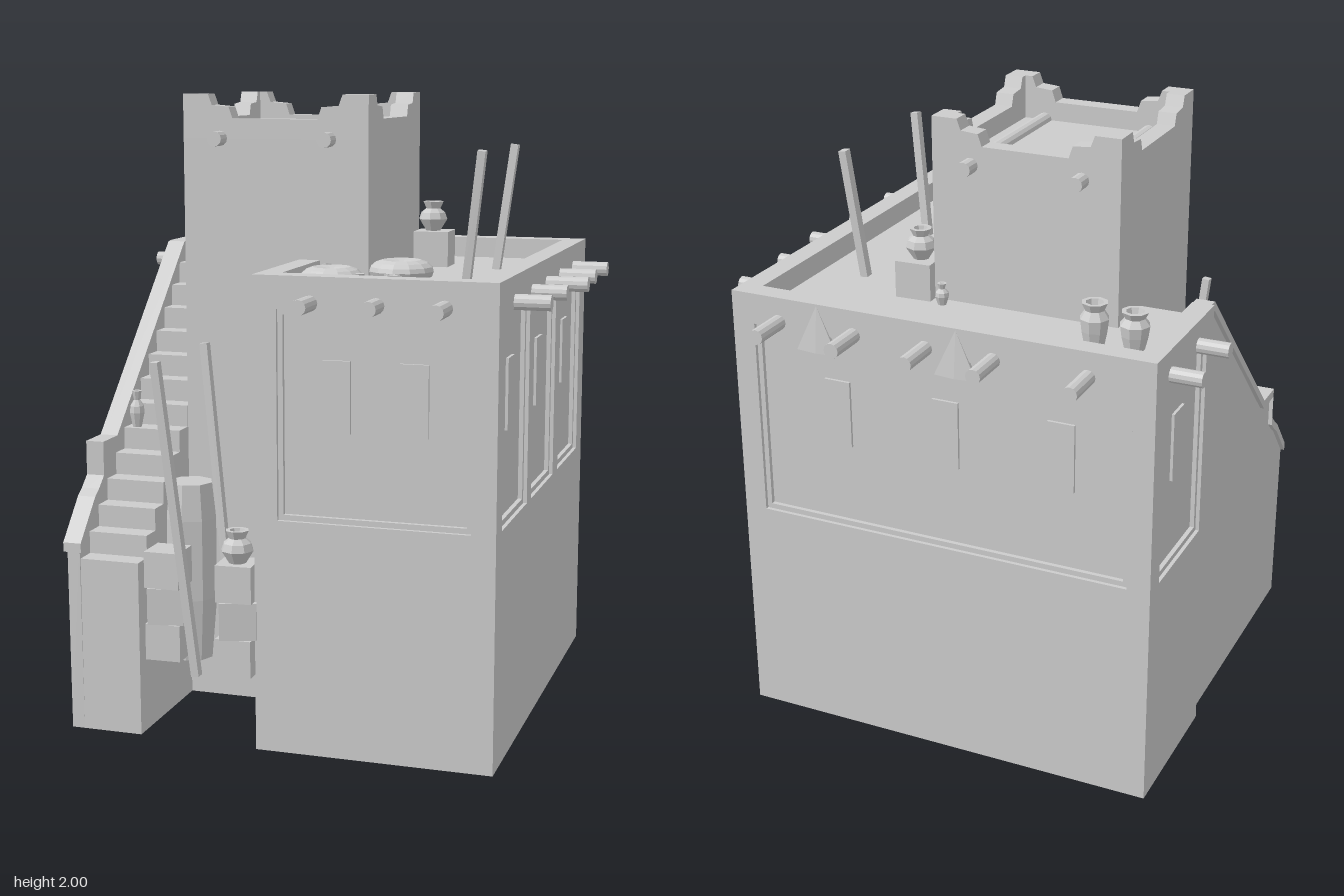
import * as THREE from 'three';

const clay = new THREE.MeshStandardMaterial({ color: 0xcccccc, side: THREE.DoubleSide, flatShading: true });
clay.name = 'clay';
const DECK = 1.41, TOP = 1.48;

const mesh = (parent, name, geo, x = 0, y = 0, z = 0) => {
  const m = new THREE.Mesh(geo, clay);
  m.name = name;
  m.position.set(x, y, z);
  parent.add(m);
  return m;
};
const box = (p, name, w, h, d, x, y, z, ry = 0) => {
  const m = mesh(p, name, new THREE.BoxGeometry(w, h, d), x, y, z);
  m.rotation.y = ry;
  return m;
};
const poly = (pts) => new THREE.Shape(pts.map(([x, y]) => new THREE.Vector2(x, y)));
const rect = (x0, y0, x1, y1) => poly([[x0, y0], [x1, y0], [x1, y1], [x0, y1]]);
const extrude = (shape, depth) => new THREE.ExtrudeGeometry(shape, { depth, bevelEnabled: false });

// Bar or log between two points
function bar(p, name, a, b, geo) {
  const A = new THREE.Vector3(...a), B = new THREE.Vector3(...b), d = B.clone().sub(A);
  const m = mesh(p, name, geo);
  m.scale.y = d.length();
  m.position.copy(A).addScaledVector(d, 0.5);
  m.quaternion.setFromUnitVectors(new THREE.Vector3(0, 1, 0), d.normalize());
}
const logGeo = new THREE.CylinderGeometry(0.024, 0.024, 1, 12);
const poleGeo = new THREE.BoxGeometry(0.026, 1, 0.03);

// Wall with parapet and stepped recessed panels: outer face at local z = 0
function wall(p, name, len, panels, [x, z], turn) {
  const g = new THREE.Group();
  g.name = name;
  g.position.set(x, 0, z);
  g.rotation.y = turn;
  p.add(g);
  mesh(g, 'lowerWall', new THREE.PlaneGeometry(len, 0.6), 0, 0.3, 0);
  const slab = rect(-len / 2, 0.6, len / 2, TOP);
  for (const { c, w, windows } of panels) {
    const x0 = c - w / 2, x1 = c + w / 2;
    slab.holes.push(rect(x0, 0.735, x1, 1.38));
    const frame = rect(x0, 0.735, x1, 1.38);
    frame.holes.push(rect(x0 + 0.016, 0.752, x1 - 0.016, 1.362));
    mesh(g, 'panelFrame', extrude(frame, 0.03), 0, 0, -0.042);
    box(g, 'panelBack', w, 0.645, 0.02, c, 1.0575, -0.036);
    for (const u of windows) box(g, 'window', 0.088, 0.22, 0.009, u, 1.12, -0.0215);
  }
  mesh(g, 'upperWall', extrude(slab, 0.07), 0, 0, -0.07);
}

// Lathe pots from [radius, height] profiles scaled to a size
const PROFILES = {
  round: [[0, 0], [0.5, 0], [1, 0.4], [0.85, 0.62], [0.5, 0.76], [0.72, 1], [0.45, 1], [0.35, 0.8]],
  tall: [[0, 0], [0.5, 0], [0.9, 0.5], [1, 0.72], [0.65, 0.86], [0.9, 1], [0.6, 1], [0.45, 0.85]],
  slim: [[0, 0], [0.6, 0], [1, 0.4], [0.9, 0.58], [0.4, 0.75], [0.65, 1], [0.3, 1]],
  barrel: [[0, 0], [0.78, 0], [1, 0.35], [1, 0.8], [0.85, 1], [0, 1]],
};
function pot(p, name, kind, r, h, x, y, z, sides = 8) {
  const pts = PROFILES[kind].map(([a, b]) => new THREE.Vector2(a * r, b * h));
  mesh(p, name, new THREE.LatheGeometry(pts, sides), x, y, z);
}

// Round cushion with a dimpled top
function cushion(p, r, x, z) {
  const geo = new THREE.SphereGeometry(1, 12, 10);
  const a = geo.attributes.position;
  for (let i = 0; i < a.count; i++) {
    const d = Math.hypot(a.getX(i), a.getZ(i));
    a.setXYZ(i, a.getX(i) * r, a.getY(i) * 0.045 - (a.getY(i) > 0 ? 0.025 * Math.max(0, 1 - d * 1.6) : 0), a.getZ(i) * r);
  }
  geo.computeVertexNormals();
  mesh(p, 'cushion', geo, x, DECK + 0.042, z);
}

function crateStack(p, x, z, turns) {
  turns.forEach((t, i) => box(p, 'crate', 0.115, 0.117, 0.115, x, 0.298 + i * 0.117, z, t));
}

export function createModel() {
  const root = new THREE.Group();
  root.name = 'mudBrickHouse';
  const H = Math.PI / 2;

  // House walls
  wall(root, 'frontWall', 0.75, [{ c: 0, w: 0.6, windows: [-0.12, 0.12] }], [0.305, 0.72], 0);
  wall(root, 'leftSideWall', 1.42, [-0.45, -0.02, 0.43].map((c) => ({ c, w: 0.365, windows: [c] })), [0.68, 0.01], H);
  wall(root, 'backWall', 1.4, [{ c: 0, w: 1.25, windows: [-0.35, 0.02, 0.4] }], [-0.02, -0.7], Math.PI);
  wall(root, 'rightSideWall', 0.49, [{ c: 0.01, w: 0.36, windows: [0.01] }], [-0.72, -0.455], -H);
  wall(root, 'alcoveWall', 0.44, [], [-0.07, 0.5], -H);
  mesh(root, 'stairHeadWall', new THREE.PlaneGeometry(0.26, DECK), -0.59, DECK / 2, -0.21);

  // Roof deck
  const deck = poly([[-0.71, -0.69], [0.67, -0.69], [0.67, 0.71], [-0.06, 0.71], [-0.06, 0], [-0.4, 0], [-0.4, -0.21], [-0.71, -0.21]]);
  mesh(root, 'roofDeck', new THREE.ShapeGeometry(deck).rotateX(H), 0, DECK, 0);

  // Tower with stepped corner parapet
  const tower = new THREE.Group();
  tower.name = 'tower';
  tower.position.set(-0.15, 0, -0.03);
  root.add(tower);
  box(tower, 'towerBody', 0.62, 1.86, 0.62, 0, 0.93, 0);
  const half = [[0.31, 1.86], [0.31, 2], [0.225, 2], [0.212, 1.965], [0.155, 1.96], [0.142, 1.922]];
  const crest = poly([...half, ...half.map(([x, y]) => [-x, y]).reverse()]);
  for (let i = 0; i < 4; i++) {
    const side = mesh(tower, 'towerParapet', extrude(crest, 0.06).translate(0, 0, 0.25));
    side.rotation.y = i * H;
  }
  for (const x of [-0.335, 0.03]) bar(root, 'towerBeam', [x, 1.86, -0.395], [x, 1.86, 0.335], logGeo);

  // Roof beam ends
  for (const [x, e] of [[0.11, 0.83], [0.315, 0.81], [0.52, 0.83]]) bar(root, 'frontBeam', [x, 1.4, 0.66], [x, 1.4, e], logGeo);
  for (const [z, e] of [[-0.46, 0.8], [-0.22, 0.8], [0.015, 0.815], [0.247, 0.79], [0.505, 0.79]])
    bar(root, 'leftBeam', [0.62, 1.4, z], [e, 1.4, z], logGeo);
  for (const z of [-0.58, -0.345]) bar(root, 'rightBeam', [-0.66, 1.4, z], [-0.82, 1.4, z], logGeo);
  for (const x of [-0.51, -0.21, 0.012, 0.255, 0.515]) bar(root, 'backBeam', [x, 1.4, -0.64], [x, 1.4, -0.835], logGeo);

  // Plaster lumps on the back parapet
  for (const x of [-0.09, 0.38]) {
    const lump = mesh(root, 'plasterLump', new THREE.ConeGeometry(0.08, 0.15, 6), x, 1.4, -0.7);
    lump.scale.z = 0.2;
  }

  // Staircase profile in z and y, extruded across its width
  const across = (name, pts, x0, x1) =>
    mesh(root, name, extrude(poly(pts.map(([z, y]) => [-z, y])), x1 - x0).rotateY(H), x0, 0, 0);
  const steps = [[-0.21, 0]], run = 0.92 / 13;
  for (let i = 0; i < 13; i++) {
    const y = DECK - i * 0.0708;
    steps.push([-0.21 + i * run, y], [-0.21 + (i + 1) * run, y]);
  }
  steps.push([0.71, 0]);
  across('stairs', steps, -0.66, -0.46);

  // Stepped sloping stair wall and its coping
  const slope = [[-0.21, 1.48], [-0.18, 1.48], [0.42, 0.9], [0.53, 0.9], [0.53, 0.79], [0.57, 0.755], [0.6, 0.735], [0.715, 0.61]];
  across('stairWall', [[-0.21, 0], ...slope, [0.71, 0]], -0.698, -0.656);
  across('stairCoping', [...slope, ...slope.map(([z, y]) => [z, y - 0.03]).reverse()], -0.712, -0.652);

  // Alcove clutter
  crateStack(root, -0.13, 0.7, [0, 0.3, 0.05]);
  crateStack(root, -0.397, 0.62, [0.03, 0.2, 0]);
  pot(root, 'cratePot', 'round', 0.052, 0.105, -0.13, 0.588, 0.705);
  pot(root, 'barrel', 'barrel', 0.085, 0.58, -0.372, 0.2, 0.48);
  bar(root, 'alcovePole', [-0.285, 0.2, 0.67], [-0.39, 1.2, 0.71], poleGeo);
  bar(root, 'alcovePole', [-0.285, 0.2, 0.335], [-0.39, 1.2, 0.3], poleGeo);
  pot(root, 'stairVase', 'slim', 0.026, 0.12, -0.62, 0.915, 0.33);

  // Roof clutter
  box(root, 'roofCrate', 0.12, 0.12, 0.12, 0.22, 1.47, -0.32, 0.04);
  pot(root, 'roofCratePot', 'round', 0.05, 0.1, 0.215, 1.53, -0.322);
  pot(root, 'tallVase', 'tall', 0.047, 0.15, -0.59, DECK, -0.54);
  pot(root, 'tallVase', 'tall', 0.045, 0.175, -0.48, DECK, -0.58);
  for (const [x, z, r] of [[0.115, -0.38, 0.023], [0.05, 0.36, 0.021], [0.23, 0.605, 0.023]])
    pot(root, 'smallVase', 'slim', r, 0.07, x, DECK, z);
  pot(root, 'smallPot', 'round', 0.035, 0.065, 0.32, DECK, 0.575);
  cushion(root, 0.105, 0.26, 0.25);
  cushion(root, 0.1, 0.11, 0.505);
  bar(root, 'roofPole', [0.455, DECK, -0.255], [0.51, 1.83, -0.27], poleGeo);
  bar(root, 'roofPole', [0.455, DECK, 0.185], [0.51, 1.83, 0.222], poleGeo);

  return root;
}
